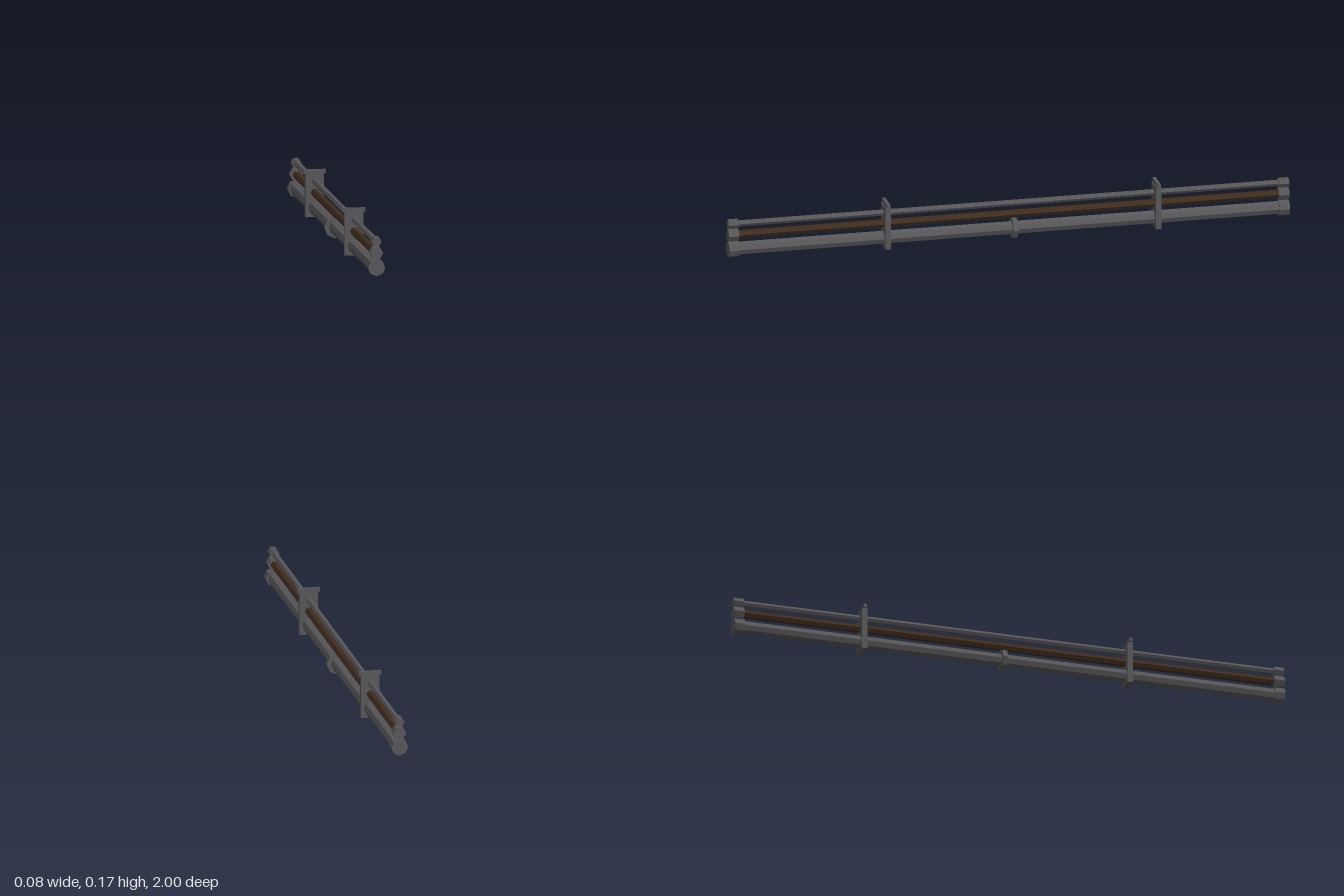
import * as THREE from 'three';

export function createModel() {
  const model = new THREE.Group();
  const mat = (name, color) => {
    const m = new THREE.MeshStandardMaterial({ color, flatShading: true });
    m.name = name;
    return m;
  };
  const metal = mat('dark grey metal', 0x57575a);
  const rust = mat('rusty brown', 0x3f2c1e);

  const add = (name, geometry, material, y, z, parent = model) => {
    const mesh = new THREE.Mesh(geometry, material);
    mesh.name = name;
    mesh.position.set(0, y, z);
    parent.add(mesh);
    return mesh;
  };

  // Faceted cylinder lying along z, with a corner pointing sideways
  const rod = (radius, length, sides) =>
    new THREE.CylinderGeometry(radius, radius, length, sides, 1, false, Math.PI / 2)
      .rotateX(Math.PI / 2);

  // Three stacked pipes with a wider cap at each end
  const capLength = 0.037;
  const pipes = [
    { name: 'lowerPipe', y: 0.039, r: 0.024, cap: 0.03, sides: 8, material: metal },
    { name: 'middlePipe', y: 0.09, r: 0.0145, cap: 0.0235, sides: 6, material: rust },
    { name: 'upperPipe', y: 0.13, r: 0.011, cap: 0.0175, sides: 6, material: metal },
  ];
  for (const p of pipes) {
    add(p.name, rod(p.r, 1.96, p.sides), p.material, p.y, 0);
    for (const s of [1, -1]) {
      add(p.name + (s > 0 ? 'FrontCap' : 'BackCap'), rod(p.cap, capLength, p.sides),
        metal, p.y, s * (1 - capLength / 2));
    }
  }

  // Joint collar around the lower pipe
  add('collar', rod(0.039, 0.018, 8), metal, 0.039, -0.02);

  // Bracket plates, each with a wider, thinner lip on top
  for (const [name, z] of [['frontBracket', 0.435], ['backBracket', -0.53]]) {
    const bracket = new THREE.Group();
    bracket.name = name;
    bracket.position.z = z;
    add('plate', new THREE.BoxGeometry(0.066, 0.153, 0.02), metal, 0.0805, 0, bracket);
    add('lip', new THREE.BoxGeometry(0.08, 0.014, 0.012), metal, 0.164, 0, bracket);
    model.add(bracket);
  }
  return model;
}
